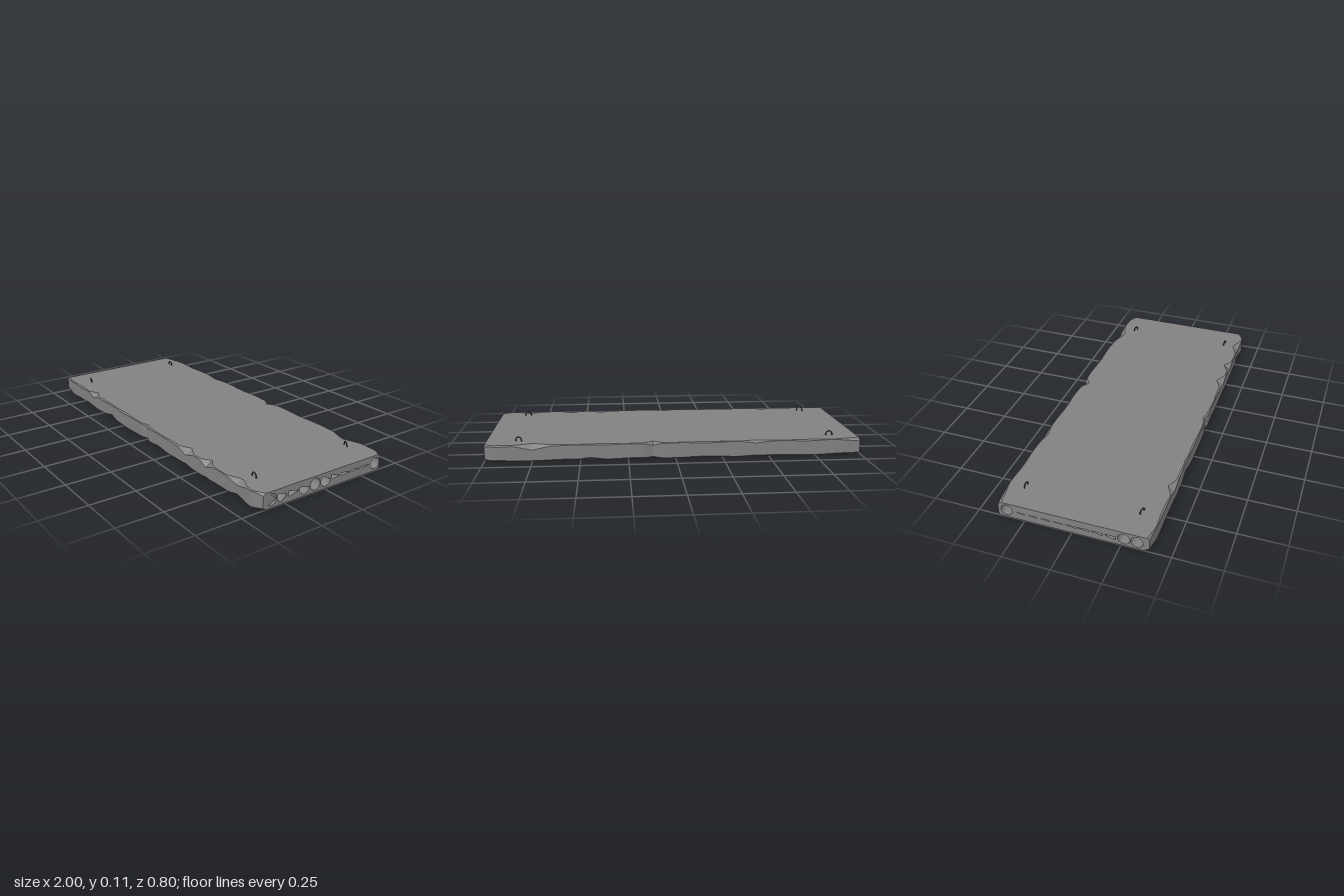
import * as THREE from 'three';

const H = 0.085, W = 0.4, MID = 0.043, R = 0.031;

// Chips on the long edges: side, x, half length, top cut, bottom cut, push of the whole side
const CHIPS = [
  [1, -1, 0.1, 0.012, 0.03, 0.008], [1, -0.62, 0.07, 0.035, 0, 0], [1, -0.7, 0.14, 0, 0.014, 0],
  [1, -0.4, 0.09, 0.008, 0.03, 0.004], [1, 0, 0.04, 0.01, 0.012, 0.012], [1, 0.14, 0.12, 0, 0.018, 0],
  [1, 0.4, 0.08, 0.04, 0.015, 0], [1, 0.58, 0.06, 0.04, 0.01, 0], [1, 0.83, 0.09, 0.035, 0.025, 0.006],
  [1, 1, 0.06, 0.015, 0.015, 0.022],
  [-1, -1, 0.16, 0.022, 0.012, 0.01], [-1, -0.43, 0.1, 0.018, 0.01, 0], [-1, 0.12, 0.05, 0.025, 0.012, 0.014],
  [-1, 0.45, 0.1, 0.006, 0.02, 0], [-1, 0.75, 0.12, 0.038, 0, 0.003], [-1, 1, 0.05, 0.015, 0.015, 0.022],
];

// Worn edge of one long side at x: [half width, top cut, bottom cut]
function edge(side, x) {
  let top = 0.006 + 0.003 * Math.sin(x * 23 + side), bottom = 0.006 + 0.004 * Math.sin(x * 17 + side * 2), push = 0;
  for (const [s, cx, half, t, b, p] of CHIPS) {
    const k = s === side ? Math.max(0, 1 - Math.abs(x - cx) / half) : 0;
    top = Math.max(top, t * k);
    bottom = Math.max(bottom, b * k);
    push = Math.max(push, p * k);
  }
  return [W - push, top, bottom];
}

// Outline of the slab at x as [z, y] corners
function section(x) {
  const [f, ft, fb] = edge(1, x), [b, bt, bb] = edge(-1, x);
  return [
    [-b + bt, H], [f - ft, H], [f, H - ft * 0.7], [f, fb * 0.7],
    [f - fb, 0], [-b + bb, 0], [-b, bb * 0.7], [-b, H - bt * 0.7],
  ];
}

// Long faces, lofted through the sections
function slabGeometry() {
  const pos = [], index = [], n = 100, m = 8;
  for (let i = 0; i <= n; i++) {
    const x = -1 + (2 * i) / n;
    for (const [z, y] of section(x)) pos.push(x, y, z);
  }
  for (let i = 0; i < n; i++) for (let j = 0; j < m; j++) {
    const a = i * m + j, b = i * m + (j + 1) % m;
    index.push(a, b, b + m, a, b + m, a + m);
  }
  const g = new THREE.BufferGeometry();
  g.setAttribute('position', new THREE.Float32BufferAttribute(pos, 3));
  g.setIndex(index);
  const flat = g.toNonIndexed();
  flat.computeVertexNormals();
  return flat;
}

// Arc of a core opening, angles in degrees from +z
function arc(z, from = 0, to = 345) {
  const pts = [], n = Math.round((to - from) / 15);
  for (let i = 0; i <= n; i++) {
    const a = THREE.MathUtils.degToRad(from + ((to - from) * i) / n);
    pts.push([z + R * Math.cos(a), MID + R * Math.sin(a)]);
  }
  return pts;
}

// End face with its openings, dir is +1 or -1 along x
function endGeometry(dir, openings) {
  const toPoints = (list) => list.map(([z, y]) => new THREE.Vector2(-dir * z, y));
  const shape = new THREE.Shape(toPoints(section(dir)));
  for (const o of openings) shape.holes.push(new THREE.Path(toPoints(o)));
  return new THREE.ShapeGeometry(shape).rotateY(dir * Math.PI / 2).translate(dir, 0, 0);
}

export function createModel() {
  const group = new THREE.Group();
  const concrete = new THREE.MeshStandardMaterial({ color: 0x838081, side: THREE.DoubleSide });
  concrete.name = 'concrete grey';
  const steel = new THREE.MeshStandardMaterial({ color: 0x4c4a4a });
  steel.name = 'dark steel';
  const add = (name, geometry, material) => {
    const mesh = new THREE.Mesh(geometry, material);
    mesh.name = name;
    group.add(mesh);
    return mesh;
  };

  add('slabSides', slabGeometry(), concrete);

  // Partly blocked core openings
  const cores = [0.33, 0.265, 0.195, 0.128, 0.06, -0.007, -0.075, -0.142, -0.21, -0.277, -0.345];
  const leftOpenings = [
    [...arc(0.33, 75, 300), [0.301, 0.043]],
    [[0.235, 0.043], [0.288, 0.062], [0.295, 0.04], [0.29, 0.025], [0.275, 0.012]],
    [[0.165, 0.043], [0.227, 0.055], [0.222, 0.027]],
    [...arc(0.128, 180, 360), [0.158, 0.054]],
    arc(0.06),
    [...arc(-0.007, 180, 420)],
    [[-0.105, 0.045], [-0.045, 0.06], [-0.044, 0.042]],
    [[-0.17, 0.045], [-0.112, 0.055], [-0.111, 0.041]],
    [[-0.237, 0.046], [-0.18, 0.052], [-0.18, 0.043]],
    [[-0.303, 0.046], [-0.247, 0.051], [-0.247, 0.044]],
    arc(-0.345),
  ];
  const rightOpenings = cores.map((z, i) => {
    if (i < 2 || i === 10) return arc(z);
    const drop = 0.034 / i;
    return [[z - 0.03, MID], [z + 0.03, MID], [z + 0.029, MID - drop]];
  });
  add('leftEnd', endGeometry(1, leftOpenings), concrete);
  add('rightEnd', endGeometry(-1, rightOpenings), concrete);

  // Hollow cores running the full length
  for (const z of cores) {
    const tube = new THREE.CylinderGeometry(R, R, 2, 24, 1, true).rotateZ(Math.PI / 2);
    add('hollowCore', tube, concrete).position.set(0, MID, z);
  }

  // Lifting loops at the four corners
  const loopPath = new THREE.CatmullRomCurve3([
    [-0.016, -0.01, 0], [-0.017, 0.008, 0], [-0.01, 0.021, 0.002],
    [0.004, 0.022, 0.004], [0.014, 0.014, 0.005], [0.015, -0.01, 0.003],
  ].map((p) => new THREE.Vector3(...p)));
  const loop = new THREE.TubeGeometry(loopPath, 20, 0.0035, 8);
  for (const [x, z, turn] of [[-0.85, -0.31, 0.1], [0.83, -0.31, -0.25], [-0.84, 0.3, -0.15], [0.84, 0.3, 0.05]]) {
    const mesh = add('liftingLoop', loop, steel);
    mesh.position.set(x, H, z);
    mesh.rotation.y = turn;
  }
  return group;
}
